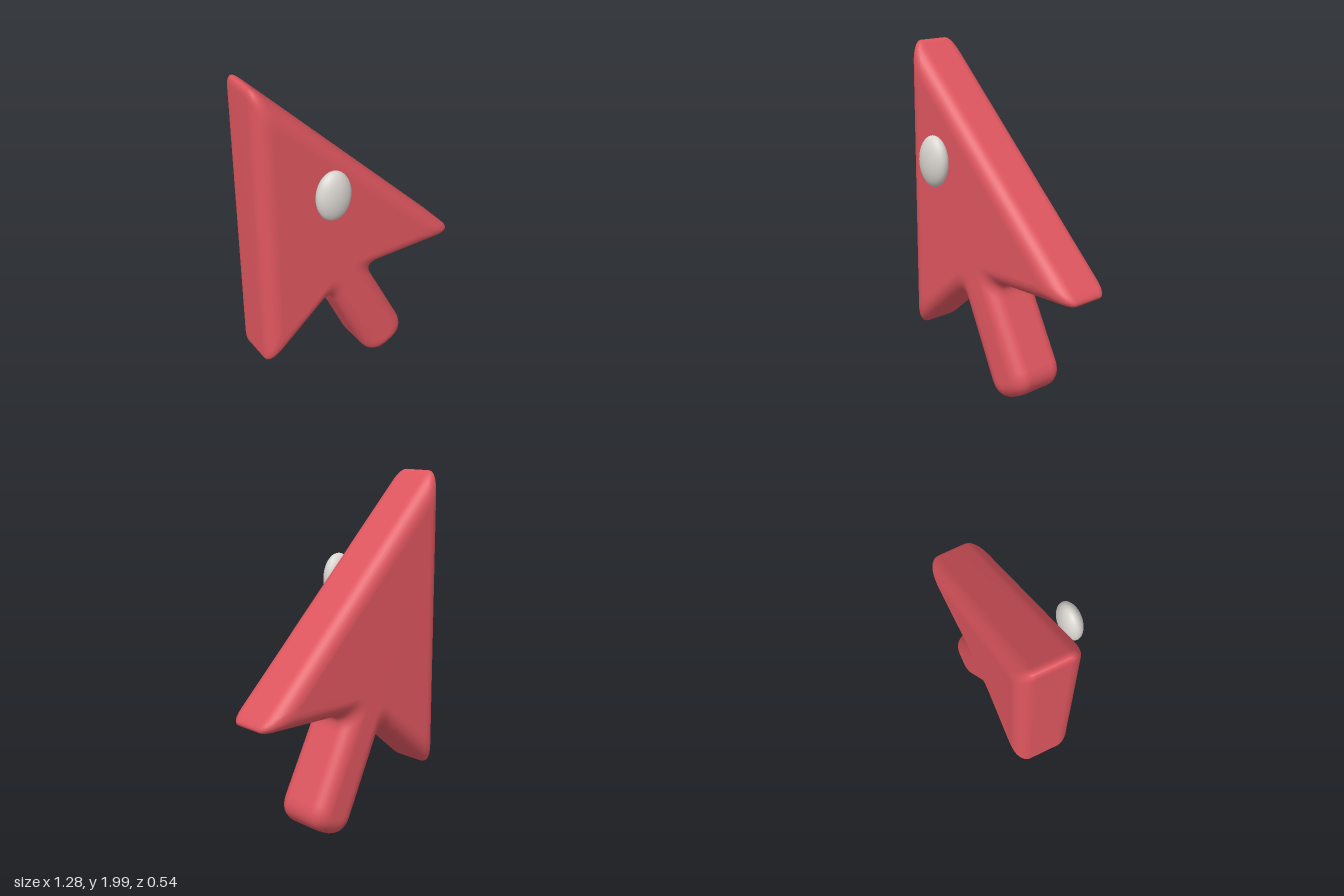
import * as THREE from 'three';

// Sharp outline corners, counter-clockwise: [x, y, rounding length]
const CORNERS = [
  [-0.645, 2.04, 0.09],  // top tip
  [-0.645, 0.23, 0.09],  // lower left tip
  [-0.21, 0.60, 0.10],   // left notch
  [0.075, -0.027, 0.13], // stem end
  [0.335, 0.10, 0.13],
  [0.04, 0.695, 0.11],   // right notch
  [0.675, 0.695, 0.09],  // right tip
];
const STEPS = 8;

// Moves every edge inward by d, then rounds each corner with a curve
function outline(d) {
  const n = CORNERS.length;
  const pts = CORNERS.map(([x, y]) => new THREE.Vector2(x, y));
  const dirs = pts.map((p, i) => pts[(i + 1) % n].clone().sub(p).normalize());
  const inset = pts.map((p, i) => {
    const a = dirs[(i + n - 1) % n], b = dirs[i];
    const na = new THREE.Vector2(-a.y, a.x), nb = new THREE.Vector2(-b.y, b.x);
    return p.clone().add(na.add(nb).multiplyScalar(d / (1 + a.dot(b) )));
  });
  const out = [];
  inset.forEach((p, i) => {
    const prev = inset[(i + n - 1) % n], next = inset[(i + 1) % n];
    const t = Math.min(CORNERS[i][2], 0.45 * p.distanceTo(prev), 0.45 * p.distanceTo(next));
    const p0 = p.clone().add(prev.clone().sub(p).setLength(t));
    const p1 = p.clone().add(next.clone().sub(p).setLength(t));
    out.push(...new THREE.QuadraticBezierCurve(p0, p, p1).getPoints(STEPS));
  });
  return out;
}

// Stacks outlines from back to front with softly rounded rims
function pillowGeometry(zMid, half, rim, levels) {
  const rings = [];
  for (let k = 0; k <= levels; k++) {
    const a = (k / levels) * Math.PI / 2;
    rings.push({ z: half - rim + rim * Math.sin(a), pts: outline(rim * (1 - Math.cos(a))) });
  }
  const all = [...rings].reverse().map(r => ({ z: -r.z, pts: r.pts })).concat(rings);
  const n = all[0].pts.length;
  const pos = [], index = [];
  all.forEach(r => r.pts.forEach(p => pos.push(p.x, p.y, zMid + r.z)));
  for (let r = 0; r < all.length - 1; r++) {
    for (let i = 0; i < n; i++) {
      const a = r * n + i, b = r * n + (i + 1) % n;
      index.push(a, b, b + n, a, b + n, a + n);
    }
  }
  // front and back faces
  const top = (all.length - 1) * n;
  THREE.ShapeUtils.triangulateShape(all[0].pts, []).forEach(([a, b, c]) => {
    index.push(top + a, top + b, top + c, c, b, a);
  });
  const geo = new THREE.BufferGeometry();
  geo.setAttribute('position', new THREE.Float32BufferAttribute(pos, 3));
  geo.setIndex(index);
  geo.computeVertexNormals();
  return geo;
}

export function createModel() {
  const red = new THREE.MeshStandardMaterial({ color: 0xdf565f });
  red.name = 'coral red';
  const pale = new THREE.MeshStandardMaterial({ color: 0xd8d4cf });
  pale.name = 'pale grey';

  const group = new THREE.Group();
  group.name = 'pointerArrow';

  const arrow = new THREE.Mesh(pillowGeometry(-0.09, 0.179, 0.09, 8), red);
  arrow.name = 'arrowBody';
  group.add(arrow);

  // Egg-shaped eye floating in front of the arrow
  const eye = new THREE.Mesh(new THREE.SphereGeometry(1, 32, 24), pale);
  eye.name = 'eye';
  eye.scale.set(0.104, 0.147, 0.062);
  eye.position.set(-0.281, 1.375, 0.208);
  group.add(eye);

  return group;
}
